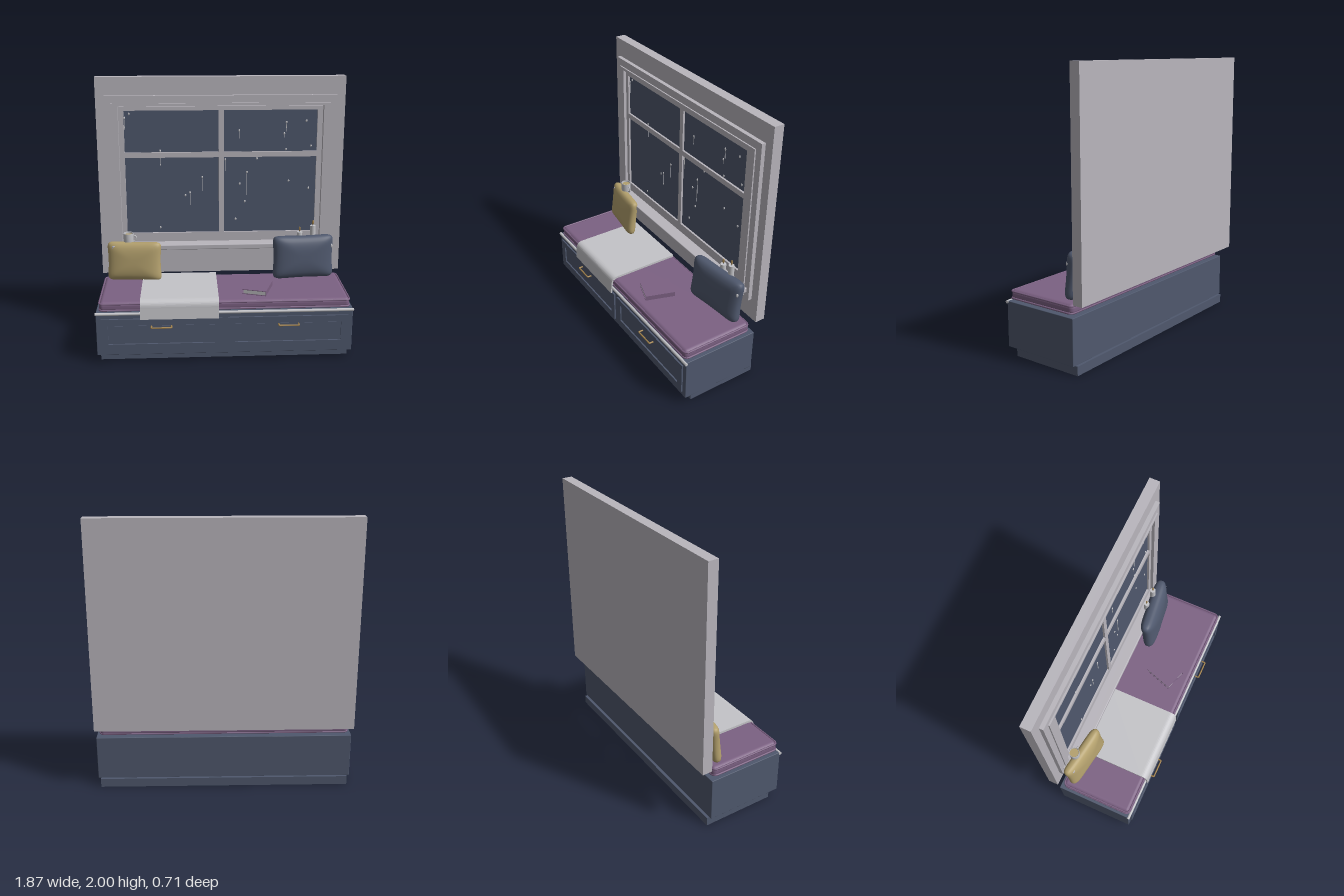
import * as THREE from 'three';
import { mergeVertices } from 'three/addons/utils/BufferGeometryUtils.js';
import { RoundedBoxGeometry } from 'three/addons/geometries/RoundedBoxGeometry.js';

const mat = (name, color) => {
  const m = new THREE.MeshStandardMaterial({ color });
  m.name = name;
  return m;
};

export function createModel() {
  const root = new THREE.Group();
  root.name = 'windowSeat';
  const plaster = mat('plaster white', 0xb9b6bd);
  const linen = mat('linen white', 0xc4c4c8);
  const navy = mat('navy', 0x4f586d);
  const plum = mat('plum', 0x7c6183);
  const mustard = mat('mustard', 0xb3a06d);
  const brass = mat('brass', 0xa5854f);

  const add = (name, geo, material, parent = root) => {
    const mesh = new THREE.Mesh(geo, material);
    mesh.name = name;
    parent.add(mesh);
    return mesh;
  };
  // Box given by its limits, with optional rounded edges
  const box = (name, x0, x1, y0, y1, z0, z1, material, r = 0, parent = root) => {
    const s = [x1 - x0, y1 - y0, z1 - z0];
    const geo = r ? new RoundedBoxGeometry(...s, 4, r) : new THREE.BoxGeometry(...s);
    const mesh = add(name, geo, material, parent);
    mesh.position.set((x0 + x1) / 2, (y0 + y1) / 2, (z0 + z1) / 2);
    return mesh;
  };
  const rect = (Type, x0, x1, y0, y1) => new Type([
    [x0, y0], [x1, y0], [x1, y1], [x0, y1],
  ].map(p => new THREE.Vector2(...p)));
  // Flat frame with one or more rectangular openings
  const frame = (name, outer, holes, z0, z1, material) => {
    const shape = rect(THREE.Shape, ...outer);
    holes.forEach(h => shape.holes.push(rect(THREE.Path, ...h)));
    const geo = new THREE.ExtrudeGeometry(shape, { depth: z1 - z0, bevelEnabled: false });
    return add(name, geo.translate(0, 0, z0), material);
  };

  // Wall and window
  box('wall', -0.93, 0.93, 0.48, 2, -0.355, -0.28, plaster);
  frame('outerCasing', [-0.865, 0.865, 0.645, 1.865], [[-0.79, 0.79, 0.72, 1.8]], -0.28, -0.25, plaster);
  frame('casingMoulding', [-0.815, 0.815, 0.66, 1.81], [[-0.765, 0.765, 0.73, 1.79]], -0.28, -0.24, plaster);
  frame('sash', [-0.757, 0.757, 0.74, 1.785], [
    [-0.725, -0.02, 0.81, 1.4], [0.018, 0.722, 0.81, 1.4],
    [-0.725, -0.02, 1.44, 1.755], [0.018, 0.722, 1.44, 1.755],
  ], -0.28, -0.258, plaster);
  box('glass', -0.74, 0.74, 0.8, 1.77, -0.28, -0.273, navy);
  box('sill', -0.84, 0.84, 0.7, 0.738, -0.28, -0.165, plaster, 0.006);

  // Raindrops: x, y, streak length
  const rain = [
    [-0.685, 1.73, 0], [-0.72, 1.7, 0.09], [-0.46, 1.45, 0], [-0.46, 1.4, 0.06], [0.135, 1.6, 0.06],
    [0.49, 1.66, 0.07], [0.475, 1.575, 0.03], [0.64, 1.67, 0], [0.49, 1.455, 0], [0.68, 1.48, 0],
    [0.27, 1.385, 0], [0.03, 1.38, 0.09], [-0.145, 1.245, 0.11], [-0.24, 1.125, 0.1], [-0.275, 1.105, 0],
    [0.195, 1.28, 0.18], [0.14, 1.19, 0], [0.515, 1.21, 0], [0.18, 1.05, 0], [0.67, 1.15, 0],
    [0.11, 0.91, 0], [-0.47, 0.85, 0],
  ];
  const dropGeo = new THREE.SphereGeometry(1, 10, 8);
  rain.forEach(([x, y, streak]) => {
    const drop = add('raindrop', dropGeo, linen);
    drop.position.set(x, y, -0.271);
    drop.scale.set(0.007, 0.01, 0.005);
    if (streak) box('rainStreak', x - 0.002, x + 0.002, y - streak, y, -0.274, -0.27, linen);
  });

  // Bench
  box('toeKick', -0.91, 0.91, 0, 0.065, -0.295, 0.25, navy);
  box('benchBody', -0.93, 0.93, 0.062, 0.39, -0.275, 0.31, navy, 0.004);
  const trim = add('frontTrim', new THREE.CylinderGeometry(0.011, 0.011, 1.87, 12), linen);
  trim.rotation.z = Math.PI / 2;
  trim.position.set(0, 0.383, 0.311);
  for (const s of [-1, 1]) {
    const [a, b] = s < 0 ? [-0.895, -0.02] : [0.02, 0.895];
    frame('drawerFront', [a, b, 0.1, 0.345], [[a + 0.05, b - 0.05, 0.15, 0.295]], 0.308, 0.322, navy);
    box('drawerPanel', a + 0.055, b - 0.055, 0.155, 0.29, 0.308, 0.314, navy);
    const path = new THREE.CurvePath();
    const pts = [[-0.072, 0.315], [-0.072, 0.352], [0.072, 0.352], [0.072, 0.315]]
      .map(([x, z]) => new THREE.Vector3(s * 0.46 + x, 0.287, z));
    for (let i = 0; i < 3; i++) path.add(new THREE.LineCurve3(pts[i], pts[i + 1]));
    add('drawerHandle', new THREE.TubeGeometry(path, 48, 0.006, 8), brass);
  }

  // Seat cushion with piping along both edges
  box('seatCushion', -0.905, 0.905, 0.393, 0.467, -0.25, 0.303, plum, 0.03);
  const ring = [];
  for (const [cx, cz, a0] of [[0.875, 0.272, 0], [-0.875, 0.272, 1], [-0.875, -0.215, 2], [0.875, -0.215, 3]])
    for (let i = 0; i <= 4; i++) {
      const a = (a0 + i / 4) * Math.PI / 2;
      ring.push(new THREE.Vector3(cx + 0.03 * Math.cos(a), 0, cz + 0.03 * Math.sin(a)));
    }
  const loop = new THREE.CurvePath();
  ring.forEach((p, i) => loop.add(new THREE.LineCurve3(p, ring[(i + 1) % ring.length])));
  for (const y of [0.407, 0.455])
    add('cushionPiping', new THREE.TubeGeometry(loop, 400, 0.007, 8, true), plum).position.y = y;

  // Throw draped over the front edge
  const cloth = new THREE.Shape();
  cloth.moveTo(-0.24, 0.466);
  cloth.lineTo(0.27, 0.466);
  cloth.quadraticCurveTo(0.315, 0.466, 0.315, 0.42);
  cloth.lineTo(0.323, 0.345);
  cloth.lineTo(0.333, 0.345);
  cloth.lineTo(0.326, 0.425);
  cloth.quadraticCurveTo(0.325, 0.484, 0.27, 0.484);
  cloth.lineTo(-0.24, 0.484);
  cloth.closePath();
  const throwGeo = new THREE.ExtrudeGeometry(cloth, { depth: 0.565, bevelEnabled: false, curveSegments: 10 });
  add('throwBlanket', throwGeo.rotateY(-Math.PI / 2).translate(-0.045, 0, 0), linen);

  // Pillows: a cube pushed onto a superellipsoid, with pinched sides
  const pillow = (name, w, h, d, material) => {
    let geo = new THREE.BoxGeometry(2, 2, 2, 24, 24, 12);
    geo.deleteAttribute('uv');
    geo.deleteAttribute('normal');
    geo = mergeVertices(geo);
    const p = geo.attributes.position;
    for (let i = 0; i < p.count; i++) {
      let [x, y, z] = [p.getX(i), p.getY(i), p.getZ(i)];
      const edge = (Math.abs(x) ** 8 + Math.abs(y) ** 8) ** (2.6 / 8);
      const f = (edge + Math.abs(z) ** 2.6) ** (1 / 2.6);
      x /= f; y /= f; z /= f;
      p.setXYZ(i, x * w / 2 * (1 - 0.06 * (1 - y * y)), y * h / 2 * (1 - 0.06 * (1 - x * x)), z * d / 2);
    }
    geo.computeVertexNormals();
    return add(name, geo, material);
  };
  const gold = pillow('mustardPillow', 0.43, 0.31, 0.11, mustard);
  gold.position.set(-0.672, 0.615, -0.168);
  gold.rotation.set(-0.12, -0.16, 0);
  const blue = pillow('navyPillow', 0.49, 0.345, 0.135, navy);
  blue.position.set(0.625, 0.634, -0.158);
  blue.rotation.set(-0.1, 0.12, 0);
  const button = add('pillowCharm', dropGeo, linen);
  button.position.set(0.845, 0.715, -0.165);
  button.scale.set(0.01, 0.018, 0.01);

  // Book
  const book = new THREE.Group();
  book.name = 'book';
  book.position.set(0.252, 0.468, 0.102);
  book.rotation.y = -0.32;
  root.add(book);
  box('bookBackCover', -0.087, 0.087, 0, 0.005, -0.112, 0.112, plum, 0, book);
  box('bookPages', -0.082, 0.084, 0.005, 0.032, -0.108, 0.108, linen, 0, book);
  box('bookFrontCover', -0.087, 0.087, 0.032, 0.037, -0.112, 0.112, plum, 0, book);
  box('bookSpine', 0.083, 0.088, 0, 0.037, -0.112, 0.112, plum, 0, book);

  // Mug on the sill
  const mug = new THREE.Group();
  mug.name = 'mug';
  mug.position.set(-0.715, 0.738, -0.215);
  root.add(mug);
  const profile = [[0, 0], [0.034, 0], [0.037, 0.006], [0.039, 0.084], [0.037, 0.087], [0.034, 0.084], [0.033, 0.008], [0, 0.008]]
    .map(p => new THREE.Vector2(...p));
  add('mugBody', new THREE.LatheGeometry(profile, 28), linen, mug);
  add('mugDrink', new THREE.CircleGeometry(0.034, 28).rotateX(-Math.PI / 2), mustard, mug).position.y = 0.073;
  const handle = new THREE.TorusGeometry(0.023, 0.005, 8, 20, Math.PI).rotateZ(-Math.PI / 2);
  add('mugHandle', handle, linen, mug).position.set(0.037, 0.045, 0);

  // Candles
  for (const [x, z, top] of [[0.605, -0.222, 0.812], [0.706, -0.213, 0.865]]) {
    const wax = add('candle', new THREE.CylinderGeometry(0.021, 0.022, top - 0.738, 20), linen);
    wax.position.set(x, (top + 0.738) / 2, z);
    const flame = add('candleFlame', dropGeo, brass);
    flame.position.set(x, top + 0.024, z);
    flame.scale.set(0.007, 0.02, 0.007);
    const wick = add('candleWick', new THREE.CylinderGeometry(0.002, 0.002, 0.014, 6), navy);
    wick.position.set(x, top + 0.005, z);
  }
  return root;
}
